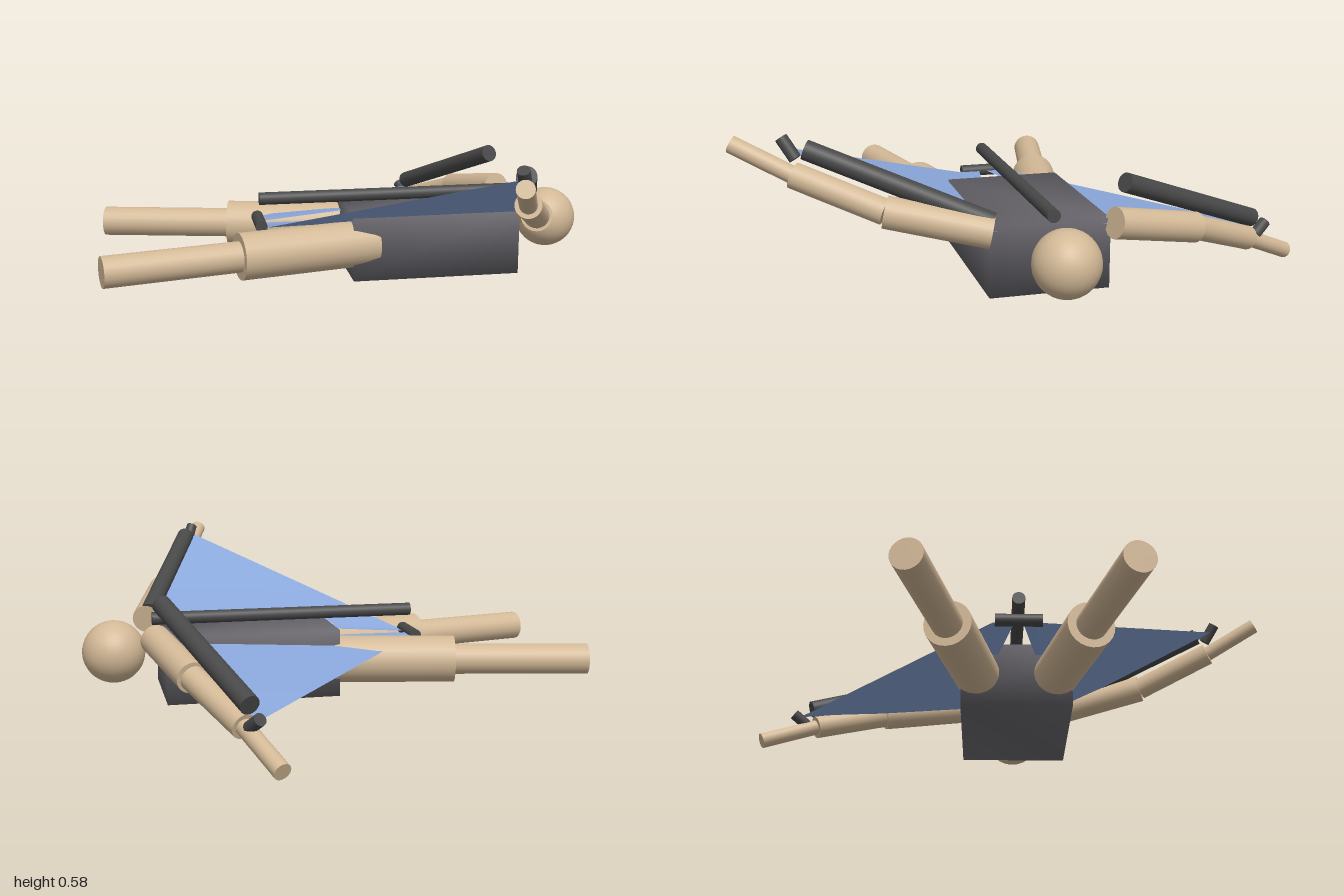
import * as THREE from 'three';
import { mergeVertices } from 'three/addons/utils/BufferGeometryUtils.js';

const skin = new THREE.MeshStandardMaterial({ color: 0xd2b896 });
const frame = new THREE.MeshStandardMaterial({ color: 0x484848 });
const suit = new THREE.MeshStandardMaterial({ color: 0x66646a });
const cloth = new THREE.MeshStandardMaterial({ color: 0x8ba8dc, side: THREE.DoubleSide });

function addMesh(parent, name, geometry, material) {
  const mesh = new THREE.Mesh(geometry, material);
  mesh.name = name;
  parent.add(mesh);
  return mesh;
}

// Round bar between two points
function bar(parent, name, from, to, radius, material) {
  const a = new THREE.Vector3(...from);
  const b = new THREE.Vector3(...to);
  const axis = b.clone().sub(a);
  const mesh = addMesh(parent, name, new THREE.CylinderGeometry(radius, radius, axis.length(), 24), material);
  mesh.position.copy(a).add(b).multiplyScalar(0.5);
  mesh.quaternion.setFromUnitVectors(new THREE.Vector3(0, 1, 0), axis.normalize());
  return mesh;
}

// Flat four-cornered panel
function panel(parent, name, corners, material) {
  const geometry = new THREE.BufferGeometry();
  geometry.setAttribute('position', new THREE.Float32BufferAttribute(corners.flat(), 3));
  geometry.setIndex([0, 1, 2, 0, 2, 3]);
  geometry.computeVertexNormals();
  return addMesh(parent, name, geometry, material);
}

export function createModel() {
  const model = new THREE.Group();
  model.name = 'glidingFigure';

  // Torso: box with shared, softly shaded corners
  const box = new THREE.BoxGeometry(0.615, 0.24, 0.41);
  box.deleteAttribute('uv');
  box.deleteAttribute('normal');
  const torsoGeometry = mergeVertices(box);
  torsoGeometry.computeVertexNormals();
  addMesh(model, 'torso', torsoGeometry, suit).position.set(0.305, 0.18, 0);

  addMesh(model, 'head', new THREE.SphereGeometry(0.112, 32, 24), skin).position.set(0.783, 0.218, 0);

  // Legs, spreading toward the feet
  for (const s of [1, -1]) {
    const leg = new THREE.Group();
    leg.name = s > 0 ? 'rightLeg' : 'leftLeg';
    bar(leg, 'thigh', [0.08, 0.185, s * 0.132], [-0.415, 0.185, s * 0.242], 0.084, skin);
    bar(leg, 'shin', [-0.4, 0.185, s * 0.24], [-0.885, 0.185, s * 0.35], 0.055, skin);
    model.add(leg);
  }

  // Arms and wings are banked: one side up, the other down
  const sides = [
    {
      name: 'raised', s: 1,
      arm: [[0.65, 0.295, 0.205], [0.56, 0.362, 0.53], [0.435, 0.468, 0.8], [0.36, 0.563, 0.985]],
      spar: [[0.64, 0.325, 0.2], [0.44, 0.55, 0.76]],
      grip: [[0.405, 0.585, 0.83], [0.43, 0.52, 0.79]],
      tip: [0.41, 0.555, 0.825],
    },
    {
      name: 'lowered', s: -1,
      arm: [[0.65, 0.295, -0.205], [0.56, 0.228, -0.53], [0.435, 0.13, -0.79], [0.355, 0.042, -0.985]],
      spar: [[0.63, 0.423, -0.245], [0.42, 0.2, -0.81]],
      grip: [[0.425, 0.135, -0.825], [0.4, 0.172, -0.875]],
      tip: [0.4, 0.16, -0.85],
    },
  ];
  for (const { name, s, arm, spar, grip, tip } of sides) {
    const limb = new THREE.Group();
    limb.name = name + 'Arm';
    ['upperArm', 'forearm', 'hand'].forEach((part, i) =>
      bar(limb, part, arm[i], arm[i + 1], [0.053, 0.043, 0.029][i], skin));
    model.add(limb);

    const wing = new THREE.Group();
    wing.name = name + 'Wing';
    bar(wing, 'spar', spar[0], spar[1], 0.033, frame);
    bar(wing, 'grip', grip[0], grip[1], 0.021, frame);
    panel(wing, 'sail', [
      [0.62, 0.285, s * 0.18], [-0.3, 0.245, s * 0.015], [-0.3, 0.245, s * 0.09], tip,
    ], cloth);
    model.add(wing);
  }

  // Keel along the back and the cross bar at its tail
  bar(model, 'keel', [-0.32, 0.332, 0], [0.645, 0.332, 0], 0.023, frame);
  bar(model, 'tailBar', [-0.32, 0.245, -0.083], [-0.32, 0.245, 0.083], 0.022, frame);

  return model;
}
